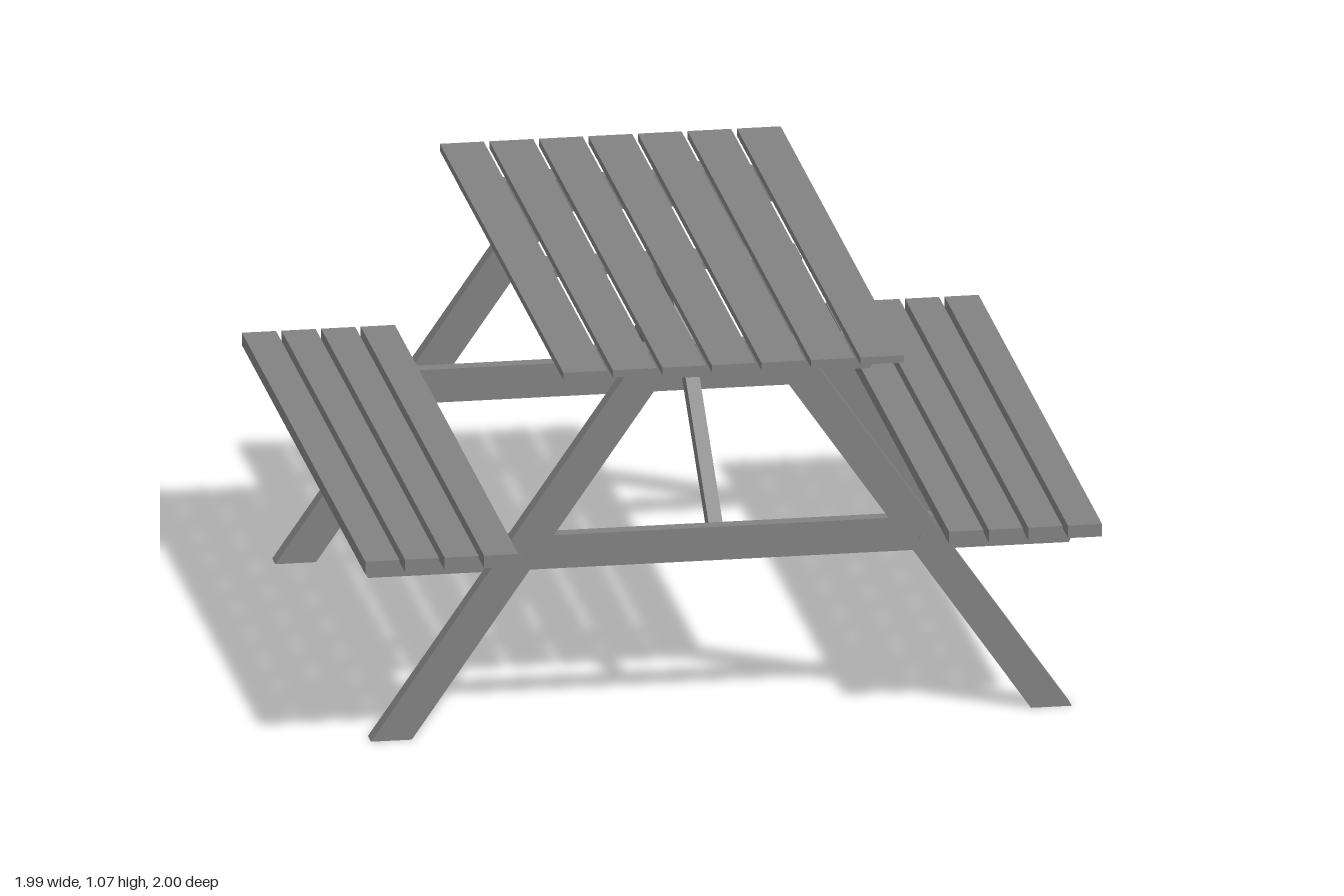
import * as THREE from 'three';

const material = new THREE.MeshStandardMaterial({ color: 0x828282, flatShading: true });

function add(parent, name, geometry, x = 0, y = 0, z = 0) {
  const mesh = new THREE.Mesh(geometry, material);
  mesh.name = name;
  mesh.position.set(x, y, z);
  parent.add(mesh);
  return mesh;
}

// Timber cut from a side outline, extruded from z0 to z1
function timber(points, z0, z1) {
  const shape = new THREE.Shape(points.map(([x, y]) => new THREE.Vector2(x, y)));
  return new THREE.ExtrudeGeometry(shape, { depth: z1 - z0, bevelEnabled: false }).translate(0, 0, z0);
}

// Cross rail with its lower corners cut away
function rail(halfTop, halfBottom, bottom, top, shoulder) {
  return timber([
    [-halfBottom, bottom], [halfBottom, bottom], [halfTop, shoulder],
    [halfTop, top], [-halfTop, top], [-halfTop, shoulder],
  ], 0.71, 0.75);
}

// One A-frame, built for the +z end
function endFrame() {
  const frame = new THREE.Group();
  frame.name = 'endFrame';
  add(frame, 'tableRail', rail(0.45, 0.41, 0.957, 1.05, 1.03));
  add(frame, 'seatRail', rail(0.98, 0.945, 0.442, 0.535, 0.51));

  for (const s of [1, -1]) {
    // Splayed leg, cut level at floor and tabletop
    const leg = [[0.835, 0], [0.945, 0], [0.215, 1.05], [0.105, 1.05]];
    add(frame, s > 0 ? 'leftLeg' : 'rightLeg', timber(leg.map(([x, y]) => [s * x, y]), 0.75, 0.8));
    // Bolt heads
    for (const [x, y] of [[0.193, 1.008], [0.543, 0.492]]) {
      const bolt = new THREE.CylinderGeometry(0.01, 0.01, 0.01, 12).rotateX(Math.PI / 2);
      add(frame, 'bolt', bolt, s * x, y, 0.799);
    }
  }

  // Diagonal brace from the seat rail to the middle of the tabletop
  const brace = timber([[0, 1.01], [0.71, 0.47], [0.71, 0.53], [0.06, 1.03], [0, 1.03]], -0.019, 0.019);
  add(frame, 'brace', brace.rotateY(-Math.PI / 2));
  return frame;
}

export function createModel() {
  const model = new THREE.Group();
  model.name = 'picnicTable';

  // Tabletop boards
  for (let i = -3; i <= 3; i++) {
    add(model, 'tableBoard', new THREE.BoxGeometry(0.118, 0.02, 2), i * 0.1335, 1.06, 0);
  }

  // Seat boards
  for (const s of [1, -1]) {
    const seat = new THREE.Group();
    seat.name = s > 0 ? 'leftSeat' : 'rightSeat';
    for (let i = 0; i < 4; i++) {
      add(seat, 'seatBoard', new THREE.BoxGeometry(0.092, 0.035, 2), s * (0.627 + i * 0.1068), 0.5525, 0);
    }
    model.add(seat);
  }

  // Batten under the middle of the tabletop
  add(model, 'centreBatten', new THREE.BoxGeometry(0.68, 0.02, 0.12), 0, 1.04, 0);

  // Matching frames at both ends
  const front = endFrame();
  const back = endFrame();
  back.rotation.y = Math.PI;
  model.add(front, back);
  return model;
}
